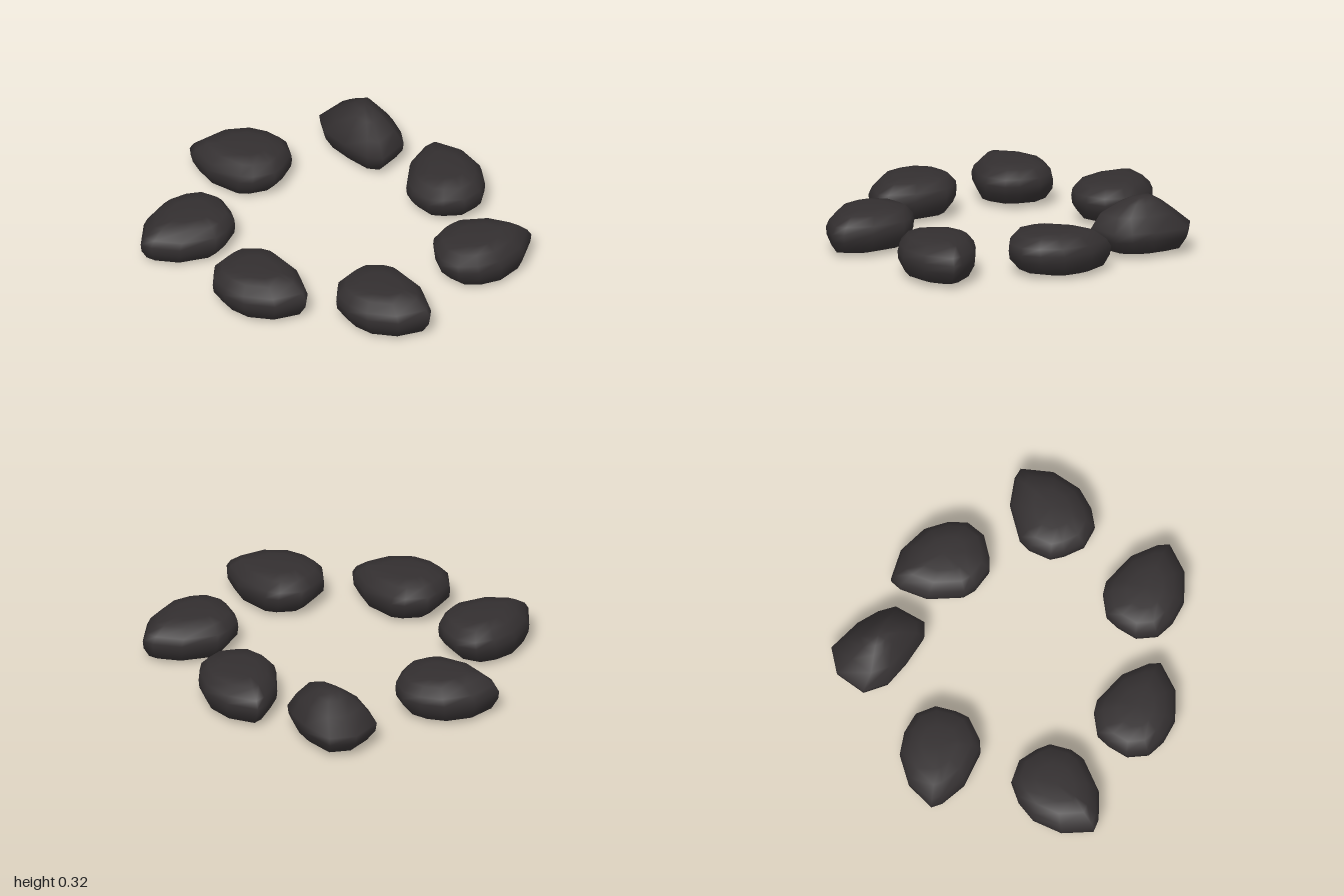
import * as THREE from 'three';
import { mergeVertices } from 'three/addons/utils/BufferGeometryUtils.js';

// Widest outline of a flat stone as [x, z], clockwise from above; blunt tip towards +x
const FLAT_OUTLINE = [
  [-0.27, -0.02], [-0.26, -0.10], [-0.17, -0.19], [-0.10, -0.22], [0.10, -0.20], [0.24, -0.12],
  [0.28, -0.07], [0.20, 0.09], [0.06, 0.19], [-0.07, 0.21], [-0.18, 0.19], [-0.26, 0.10],
];
// Layers from bottom to top: [scale, y, x shift, z shift]
const FLAT_LAYERS = [
  [0, 0, 0.02, 0], [0.5, 0.006, 0.02, 0], [0.82, 0.028, 0.01, 0], [0.98, 0.09, 0, 0],
  [1, 0.135, 0, 0], [0.95, 0.175, -0.01, 0], [0.76, 0.222, -0.02, 0], [0.45, 0.235, -0.02, 0],
  [0, 0.24, -0.02, 0],
];

// The taller stone with a humped crown
const TALL_OUTLINE = [
  [-0.26, -0.08], [-0.16, -0.19], [0.04, -0.16], [0.16, -0.11], [0.24, -0.05],
  [0.26, 0.13], [0.19, 0.18], [0.02, 0.19], [-0.14, 0.18], [-0.26, 0.10],
];
const TALL_LAYERS = [
  [0, 0.01, 0, 0], [0.5, 0.015, 0, 0], [0.8, 0.035, 0, 0], [0.97, 0.1, 0, 0], [1, 0.15, 0, 0],
  [0.74, 0.23, 0.02, 0.015], [0.42, 0.29, 0.01, 0.01], [0.22, 0.315, 0, 0.01], [0, 0.32, 0, 0.01],
];

// Stack scaled copies of an outline and skin them into a closed stone
function stoneGeometry(outline, layers) {
  const n = outline.length;
  const positions = [];
  const index = [];
  for (const [s, y, dx, dz] of layers) {
    for (const [x, z] of outline) positions.push(x * s + dx, y, z * s + dz);
  }
  for (let k = 0; k < layers.length - 1; k++) {
    for (let i = 0; i < n; i++) {
      const a = k * n + i;
      const b = k * n + (i + 1) % n;
      if (layers[k][0] > 0) index.push(b, a, a + n);
      if (layers[k + 1][0] > 0) index.push(b, a + n, b + n);
      else index.push(b, a, a + n);
    }
  }
  // drop the repeats made where a layer closes to a point
  const seen = new Set();
  const faces = [];
  for (let i = 0; i < index.length; i += 3) {
    const key = index.slice(i, i + 3).join();
    if (!seen.has(key)) faces.push(...index.slice(i, i + 3));
    seen.add(key);
  }
  let geometry = new THREE.BufferGeometry();
  geometry.setAttribute('position', new THREE.Float32BufferAttribute(positions, 3));
  geometry.setIndex(faces);
  geometry = mergeVertices(geometry);
  geometry.computeVertexNormals();
  return geometry;
}

export function createModel() {
  const group = new THREE.Group();
  group.name = 'stoneRing';
  const material = new THREE.MeshStandardMaterial({ color: 0x332f30 });

  // Flat stones around the ring: [x, z, turn in degrees]
  const flat = stoneGeometry(FLAT_OUTLINE, FLAT_LAYERS);
  const places = [
    [0.13, 0.70, 0], [0.71, 0.33, 0], [-0.53, 0.63, 114],
    [0.765, -0.38, -57], [0.17, -0.69, -135], [-0.75, -0.03, 163],
  ];
  places.forEach(([x, z, turn], i) => {
    const stone = new THREE.Mesh(flat, material);
    stone.name = `flatStone${i + 1}`;
    stone.position.set(x, 0, z);
    stone.rotation.y = -THREE.MathUtils.degToRad(turn);
    group.add(stone);
  });

  // Taller stone at the back
  const tall = new THREE.Mesh(stoneGeometry(TALL_OUTLINE, TALL_LAYERS), material);
  tall.name = 'tallStone';
  tall.position.set(-0.43, 0, -0.67);
  group.add(tall);

  return group;
}
